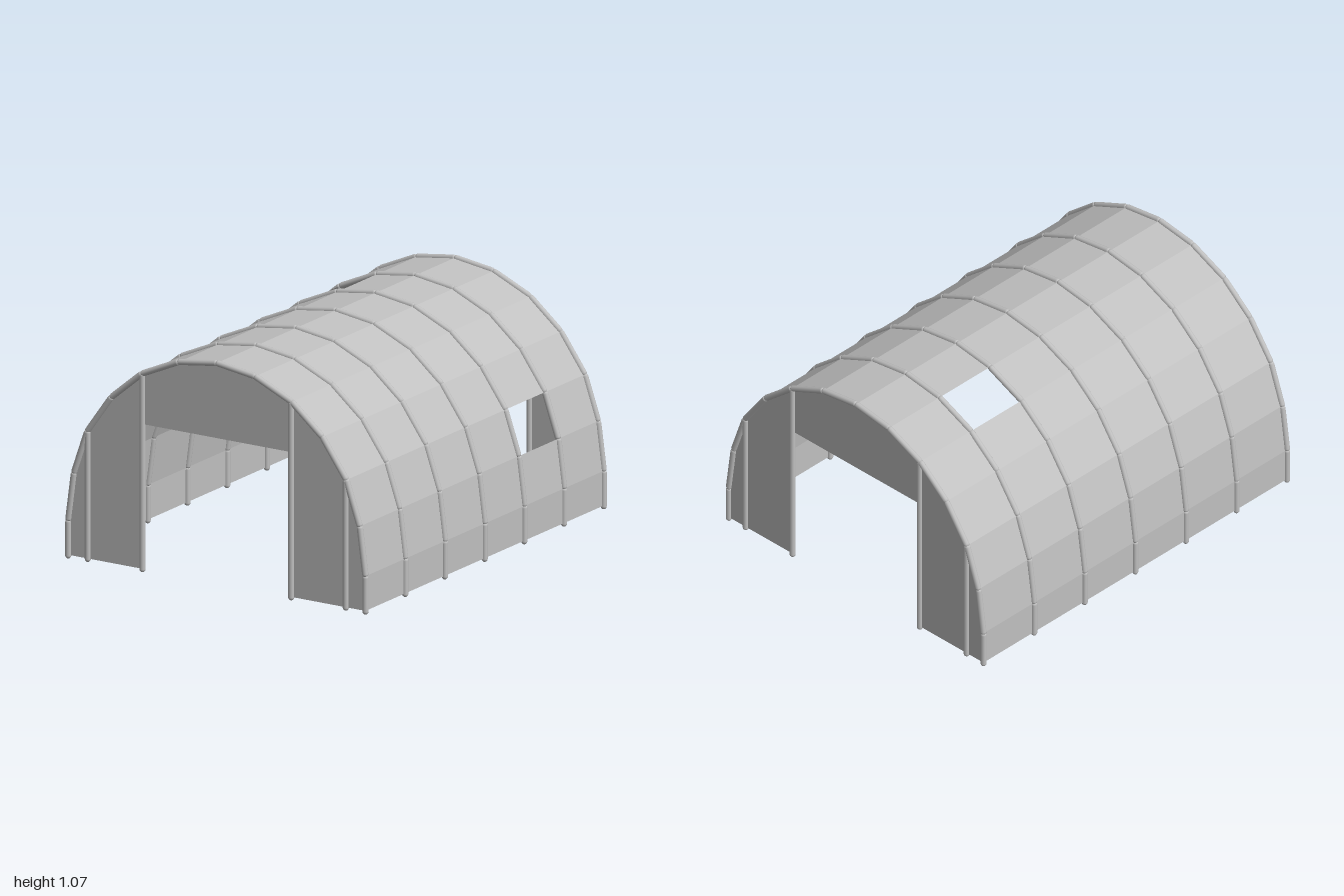
import * as THREE from 'three';

const R = 0.0145;
const END = 0.985;
// right half of the arch, from the ground to the crown
const half = [[0.803, 0.0], [0.803, 0.18], [0.772, 0.41], [0.7, 0.618], [0.57, 0.8], [0.405, 0.938], [0.207, 1.026], [0, 1.055]];
const arch = [...half, ...half.slice(0, -1).reverse().map(([x, y]) => [-x, y])];
const ribZ = Array.from({ length: 7 }, (_, i) => -END + i * END / 3);

export function createModel() {
  const group = new THREE.Group();
  const sheet = new THREE.MeshStandardMaterial({ color: 0xc0c0c0, side: THREE.DoubleSide });
  sheet.name = 'grey sheet';

  const add = (geometry, name) => {
    const mesh = new THREE.Mesh(geometry, sheet);
    mesh.name = name;
    group.add(mesh);
    return mesh;
  };

  // round-ended tube between two points of a plane at z
  const tube = ([x0, y0], [x1, y1], z, name) => {
    const d = new THREE.Vector3(x1 - x0, y1 - y0, 0);
    const mesh = add(new THREE.CapsuleGeometry(R, d.length() - 1.2 * R, 3, 10), name);
    mesh.position.set((x0 + x1) / 2, (y0 + y1) / 2, z);
    mesh.quaternion.setFromUnitVectors(new THREE.Vector3(0, 1, 0), d.normalize());
  };

  // ribs
  for (const z of ribZ) {
    for (let i = 0; i < arch.length - 1; i++) {
      const a = [...arch[i]], b = [...arch[i + 1]];
      if (i === 0) a[1] += 0.005;
      if (i === arch.length - 2) b[1] += 0.005;
      tube(a, b, z, 'rib');
    }
  }

  // shell panels, leaving out one side window and one skylight in the second bay
  for (let bay = 0; bay < 6; bay++) {
    for (let i = 0; i < arch.length - 1; i++) {
      if (bay === 1 && (i === 2 || i === 8)) continue;
      const [x0, y0] = arch[i], [x1, y1] = arch[i + 1];
      const a = [x0, Math.max(y0, 0.016)], b = [x1, Math.max(y1, 0.016)];
      const za = ribZ[bay], zb = ribZ[bay + 1];
      const geometry = new THREE.BufferGeometry();
      geometry.setAttribute('position', new THREE.Float32BufferAttribute(
        [...a, za, ...b, za, ...b, zb, ...a, zb], 3));
      geometry.setIndex([0, 1, 2, 0, 2, 3]);
      geometry.computeVertexNormals();
      add(geometry, 'shellPanel');
    }
  }

  // end walls with a doorway, and their posts
  const outline = [
    ...arch.map(([x, y]) => [x, Math.max(y, 0.016)]),
    [-0.395, 0.016], [-0.395, 0.7], [0.395, 0.7], [0.395, 0.016],
  ];
  const wallShape = new THREE.Shape(outline.map(([x, y]) => new THREE.Vector2(x, y)));
  for (const side of [1, -1]) {
    const wall = add(new THREE.ShapeGeometry(wallShape), side > 0 ? 'frontWall' : 'backWall');
    wall.position.z = side * END;
    if (side < 0) wall.rotation.y = Math.PI;
    for (const s of [1, -1]) {
      tube([s * 0.402, 0.006], [s * 0.402, 0.938], side * END, 'doorPost');
      tube([s * 0.697, 0.006], [s * 0.697, 0.618], side * END, 'wallPost');
    }
  }
  return group;
}
